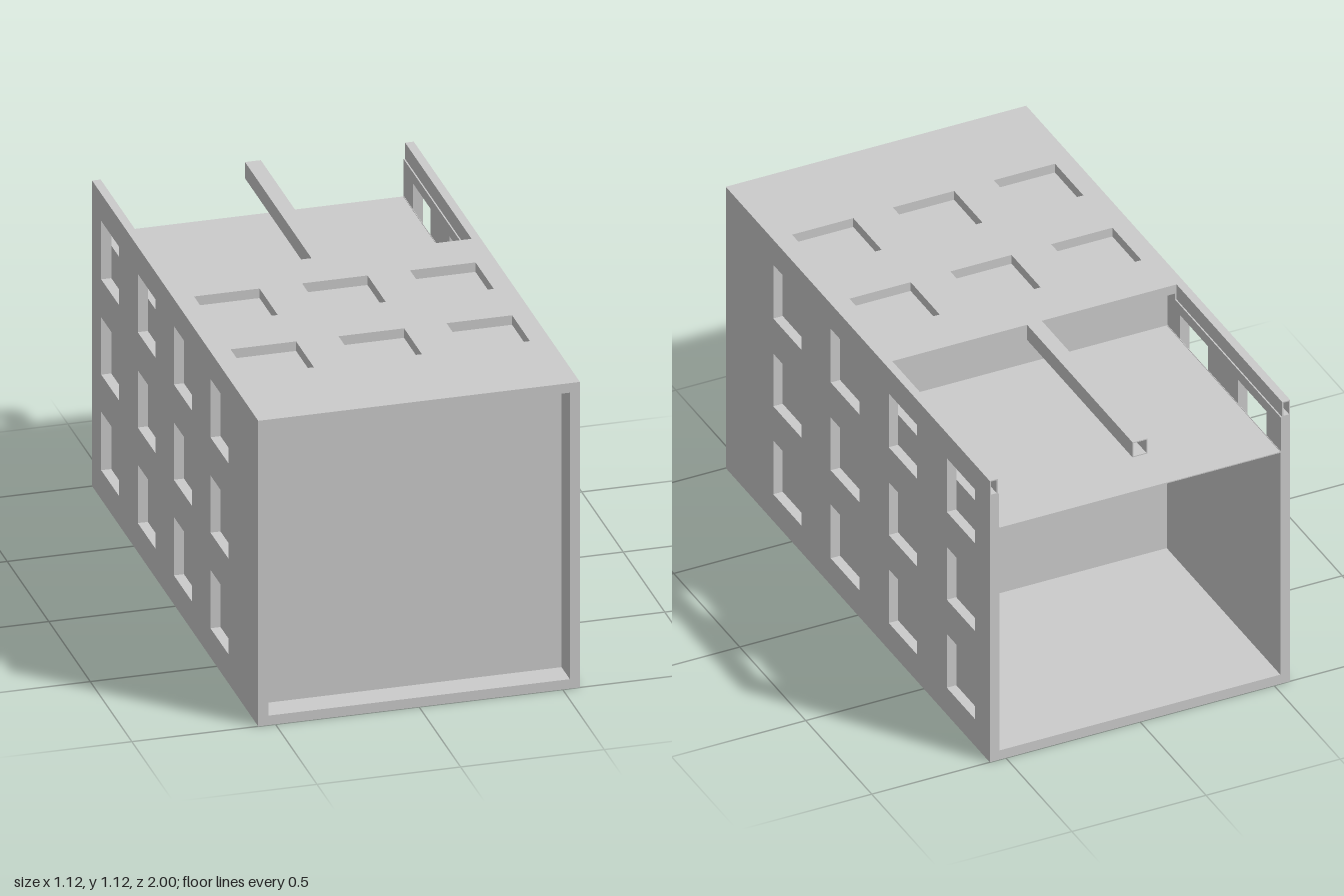
import * as THREE from 'three';

const W = 0.56, H = 1.125, T = 0.035, IN = W - T;   // half width, height, wall thickness, inner half width
const ROOF_BACK = -0.2, CORE_BACK = -0.14, RAIL = 0.06;
const ROWS_Z = [[-0.89, -0.675], [-0.45, -0.235], [-0.015, 0.205], [0.425, 0.64]];
const COLS_X = [[-0.49, -0.262], [-0.114, 0.114], [0.262, 0.49]];
const ROWS_Y = [[0.107, 0.322], [0.459, 0.67], [0.81, 1.025]];

export function createModel() {
  const group = new THREE.Group();
  const mat = new THREE.MeshStandardMaterial({ color: 0xcccccc, flatShading: true, side: THREE.DoubleSide });

  const add = (name, geo, x = 0, y = 0, z = 0) => {
    const mesh = new THREE.Mesh(geo, mat);
    mesh.name = name;
    mesh.position.set(x, y, z);
    group.add(mesh);
    return mesh;
  };

  // flat panel with a grid of rectangular openings
  const panel = (outline, us, vs) => {
    const shape = new THREE.Shape(outline.map(p => new THREE.Vector2(...p)));
    for (const [u0, u1] of us) for (const [v0, v1] of vs) {
      shape.holes.push(new THREE.Path([[u0, v0], [u0, v1], [u1, v1], [u1, v0]].map(p => new THREE.Vector2(...p))));
    }
    return new THREE.ExtrudeGeometry(shape, { depth: T, bevelEnabled: false });
  };
  const rect = (u0, v0, u1, v1) => [[u0, v0], [u1, v0], [u1, v1], [u0, v1]];

  // hollow rectangular rail, open at the ends, running along the back bay
  const rail = (name, w, x) => {
    const t = 0.004, y = H - RAIL;
    const shape = new THREE.Shape(rect(-w / 2, 0, w / 2, RAIL).map(p => new THREE.Vector2(...p)));
    shape.holes.push(new THREE.Path(rect(-w / 2 + t, t, w / 2 - t, RAIL - t).map(p => new THREE.Vector2(...p))));
    add(name, new THREE.ExtrudeGeometry(shape, { depth: ROOF_BACK + 1, bevelEnabled: false }), x, y, -1);
  };

  // side walls, stepped down at the back to carry the top rails
  const wallOutline = [[-1, 0], [1, 0], [1, H], [ROOF_BACK, H], [ROOF_BACK, H - RAIL], [-1, H - RAIL]];
  for (const s of [-1, 1]) {
    const side = s > 0 ? 'left' : 'right';
    add(side + 'Wall', panel(wallOutline, ROWS_Z, ROWS_Y).rotateY(-Math.PI / 2), s > 0 ? W : -IN);
    rail(side + 'TopRail', 0.03, s * (W - 0.015));
    // inner lining that closes the lower windows of the back bay
    add(side + 'Lining', new THREE.BoxGeometry(0.002, 0.93 - T, 1 + CORE_BACK),
      s * (IN - 0.001), (0.93 + T) / 2, (CORE_BACK - 1) / 2);
  }
  rail('centreBeam', 0.055, 0);

  // floor and roof
  add('floor', panel(rect(-IN, -1, IN, 1), COLS_X, ROWS_Z).rotateX(Math.PI / 2), 0, T);
  add('roof', panel(rect(-IN, ROOF_BACK, IN, 1), COLS_X, ROWS_Z.slice(2)).rotateX(Math.PI / 2), 0, H);
  add('floorLining', new THREE.BoxGeometry(2 * IN, 0.002, 1 + CORE_BACK), 0, T + 0.001, (CORE_BACK - 1) / 2);

  // closed middle body, set back from the front rim
  add('core', new THREE.BoxGeometry(2 * IN, H - 2 * T, 0.9 - CORE_BACK), 0, H / 2, (0.9 + CORE_BACK) / 2);

  // shelf across the open back bay
  add('shelf', new THREE.BoxGeometry(2 * IN, 0.004, 1 + CORE_BACK), 0, 0.926, (CORE_BACK - 1) / 2);

  return group;
}
